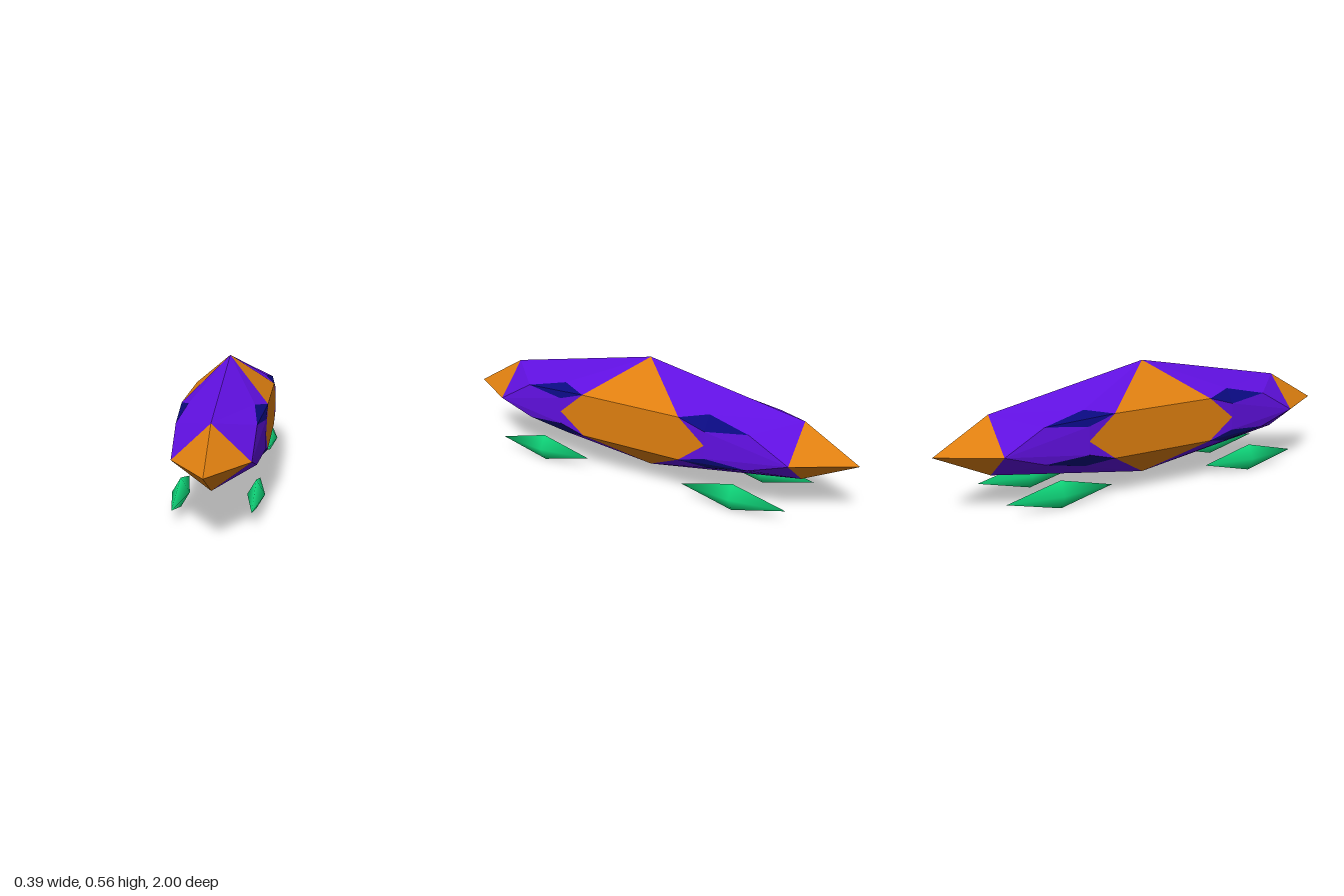
import * as THREE from 'three';

// Hull corners in one octant: [x, y above, y below, z]
const P = {
  peak: [0, 0.563, 0.035, 0],
  noseTop: [0, 0.413, 0.147, 0.75],
  noseSide: [0.156, 0.265, 0.265, 0.75],
  tip: [0, 0.265, 0.265, 1],
  rim: [0.187, 0.39, 0.19, 0],
  mid: [0.187, 0.285, 0.285, 0],
  corner: [0.187, 0.39, 0.19, 0.25],
  point: [0.187, 0.285, 0.285, 0.375],
  ventTop: [0.139, 0.413, 0.162, 0.375],
  ventEnd: [0.163, 0.37, 0.207, 0.57],
  ventLow: [0.187, 0.35, 0.225, 0.375],
};

const material = (color, flat = true) => new THREE.MeshStandardMaterial({ color, flatShading: flat });

// Mirrors polygons of the octant into every quadrant and above / below
function facets(name, color, polygons) {
  const pos = [];
  for (const sx of [1, -1]) for (const sz of [1, -1]) for (const level of [1, 2]) {
    const flip = sx * sz * (level === 1 ? 1 : -1) < 0;
    for (const poly of polygons) {
      const pts = poly.map((k) => [P[k][0] * sx, P[k][level], P[k][3] * sz]);
      if (flip) pts.reverse();
      for (let i = 1; i < pts.length - 1; i++) pos.push(...pts[0], ...pts[i], ...pts[i + 1]);
    }
  }
  const geo = new THREE.BufferGeometry();
  geo.setAttribute('position', new THREE.Float32BufferAttribute(pos, 3));
  geo.computeVertexNormals();
  const mesh = new THREE.Mesh(geo, material(color));
  mesh.name = name;
  return mesh;
}

export function createModel() {
  const model = new THREE.Group();
  model.name = 'gemShip';

  // Faceted purple hull
  model.add(facets('hull', 0x6010e0, [
    ['peak', 'noseTop', 'ventTop'],
    ['peak', 'ventTop', 'corner'],
    ['noseTop', 'ventEnd', 'ventTop'],
    ['noseTop', 'noseSide', 'ventEnd'],
    ['noseSide', 'ventLow', 'ventEnd'],
    ['noseSide', 'point', 'ventLow'],
    ['corner', 'ventLow', 'point'],
  ]));

  // Orange side panels and pointed ends
  model.add(facets('sidePanels', 0xe08010, [
    ['peak', 'corner', 'rim'],
    ['rim', 'corner', 'point', 'mid'],
  ]));
  model.add(facets('noseCones', 0xe08010, [['noseTop', 'tip', 'noseSide']]));

  // Dark blue facets beside the panels
  model.add(facets('vents', 0x0a0a80, [['corner', 'ventTop', 'ventEnd', 'ventLow']]));

  // Four smooth-shaded green crystals under the hull
  const crystalGeo = new THREE.SphereGeometry(1, 4, 2);
  const crystalMat = material(0x10e080, false);
  for (const sx of [1, -1]) for (const sz of [1, -1]) {
    const crystal = new THREE.Mesh(crystalGeo, crystalMat);
    crystal.name = (sz > 0 ? 'front' : 'back') + (sx > 0 ? 'Left' : 'Right') + 'Crystal';
    crystal.scale.set(0.037, 0.0625, 0.25);
    crystal.position.set(0.156 * sx, 0.0625, 0.5 * sz);
    model.add(crystal);
  }
  return model;
}
